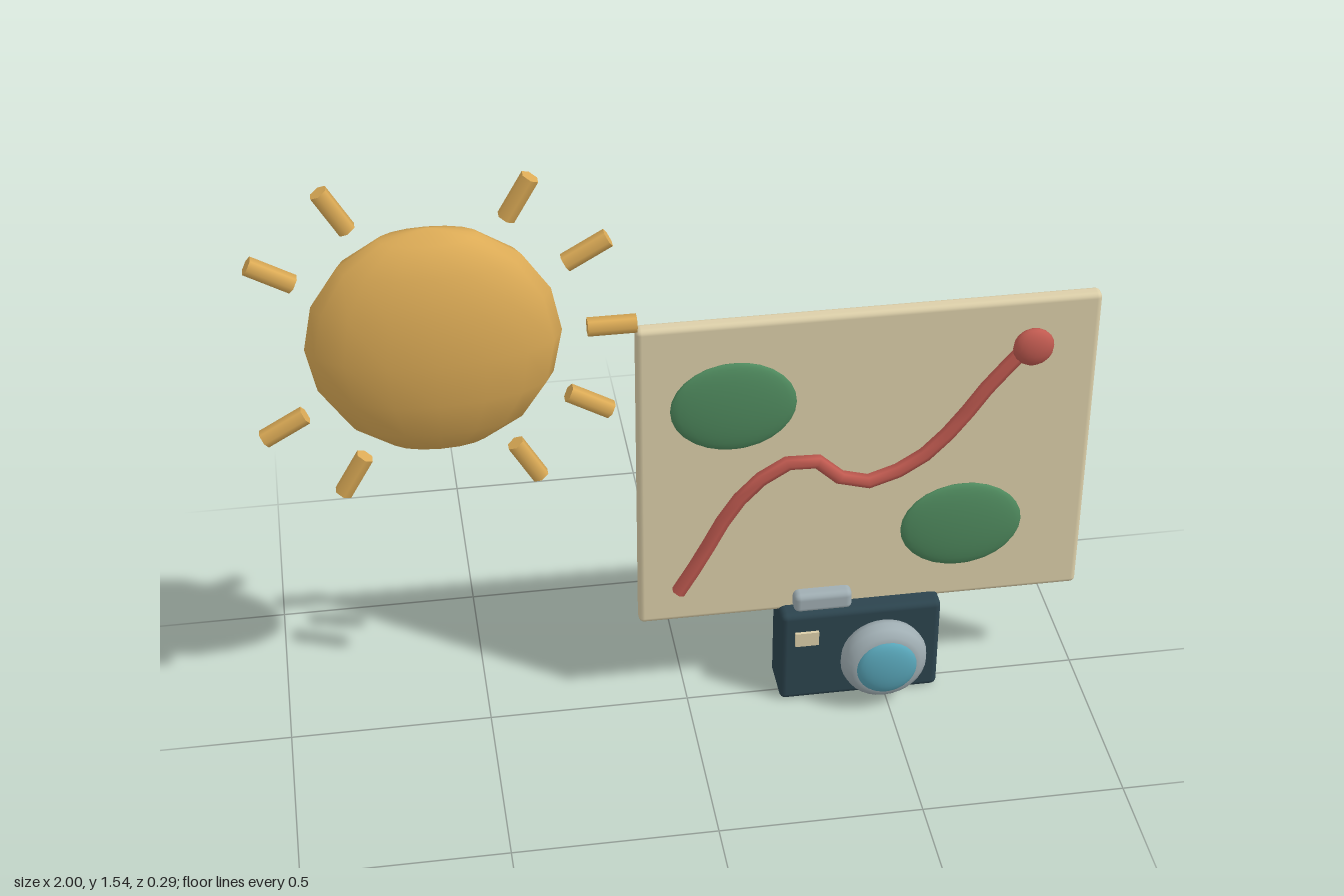
import * as THREE from 'three';
import { RoundedBoxGeometry } from 'three/addons/geometries/RoundedBoxGeometry.js';

const material = (name, color) => {
  const m = new THREE.MeshStandardMaterial({ color });
  m.name = name;
  return m;
};

export function createModel() {
  const gold = material('gold', 0xdcab56);
  const parchment = material('parchment', 0xdccfa9);
  const green = material('green', 0x4f8a5e);
  const red = material('red', 0xc05a50);
  const navy = material('dark slate', 0x2c444e);
  const grey = material('grey', 0xa0aeb3);
  const blue = material('glass blue', 0x58a5b8);

  const model = new THREE.Group();
  model.name = 'travelScene';

  const add = (parent, name, geometry, mat, x, y, z) => {
    const mesh = new THREE.Mesh(geometry, mat);
    mesh.name = name;
    mesh.position.set(x, y, z);
    parent.add(mesh);
    return mesh;
  };
  const ellipsoid = (rx, ry, rz, w, h) => new THREE.SphereGeometry(1, w, h).scale(rx, ry, rz);
  const group = (name) => {
    const g = new THREE.Group();
    g.name = name;
    model.add(g);
    return g;
  };

  // Sun: flattened ball with nine hexagonal rays
  const sun = group('sun');
  sun.position.set(-0.585, 1.125, -0.022);
  add(sun, 'sunDisc', ellipsoid(0.296, 0.296, 0.12, 16, 8), gold, 0, 0, 0);
  const rayGeometry = new THREE.CylinderGeometry(0.0225, 0.0225, 0.115, 6);
  for (const degrees of [0, 30, 60, 120, 150, 210, 240, 300, 330]) {
    const a = THREE.MathUtils.degToRad(degrees);
    const ray = add(sun, 'sunRay', rayGeometry, gold, 0.412 * Math.cos(a), 0.412 * Math.sin(a), 0);
    ray.rotation.z = a - Math.PI / 2;
  }

  // Map: board, two land patches and a route ending in a marker
  const map = group('map');
  add(map, 'mapBoard', new RoundedBoxGeometry(1.116, 0.86, 0.04, 2, 0.014), parchment, 0.438, 0.682, -0.022);
  for (const [x, y] of [[0.108, 0.895], [0.68, 0.488]]) {
    add(map, 'landPatch', ellipsoid(0.152, 0.122, 0.022, 24, 14), green, x, y, 0.018);
  }
  const route = new THREE.CatmullRomCurve3([
    [-0.025, 0.355], [0.03, 0.45], [0.095, 0.575], [0.165, 0.665], [0.265, 0.722], [0.315, 0.713],
    [0.38, 0.655], [0.44, 0.64], [0.56, 0.69], [0.65, 0.78], [0.72, 0.88], [0.82, 1.0],
  ].map(([x, y]) => new THREE.Vector3(x, y, 0.015)));
  add(map, 'route', new THREE.TubeGeometry(route, 16, 0.018, 6), red, 0, 0, 0);

  // Flat caps for the ends of the route
  for (const t of [0, 1]) {
    const p = route.getPointAt(t);
    const cap = add(map, 'routeEnd', new THREE.CircleGeometry(0.018, 6), red, p.x, p.y, p.z);
    cap.lookAt(p.clone().addScaledVector(route.getTangentAt(t), t ? 1 : -1));
  }
  add(map, 'routeMarker', ellipsoid(0.05, 0.05, 0.025, 16, 10), red, 0.822, 1.007, 0.04);

  // Camera: body, shutter button, viewfinder and lens
  const camera = group('camera');
  add(camera, 'cameraBody', new RoundedBoxGeometry(0.407, 0.268, 0.13, 2, 0.016), navy, 0.435, 0.134, -0.02);
  add(camera, 'shutterButton', new RoundedBoxGeometry(0.147, 0.056, 0.1, 2, 0.016), grey, 0.34, 0.287, -0.02);
  add(camera, 'viewfinder', new THREE.BoxGeometry(0.06, 0.04, 0.009), parchment, 0.296, 0.195, 0.0485);
  add(camera, 'lensRing', new THREE.TorusGeometry(0.068, 0.042, 12, 32), grey, 0.487, 0.137, 0.08);
  add(camera, 'lensGlass', ellipsoid(0.077, 0.077, 0.025, 24, 14), blue, 0.487, 0.137, 0.118);

  return model;
}
